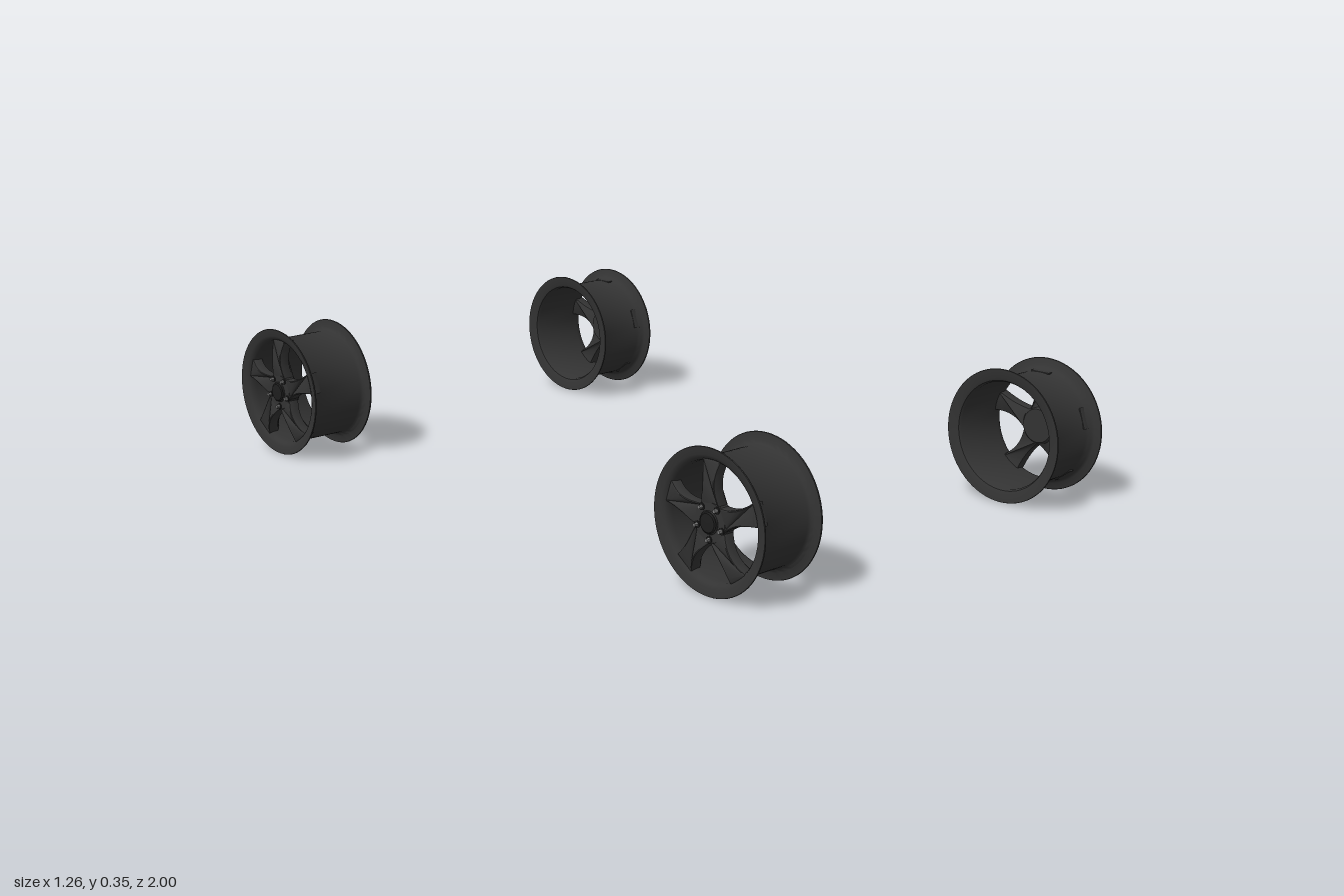
import * as THREE from 'three';
import { toCreasedNormals } from 'three/addons/utils/BufferGeometryUtils.js';

const mat = (name, color) => {
  const m = new THREE.MeshStandardMaterial({ color });
  m.name = name;
  return m;
};

function add(parent, name, geometry, material) {
  const mesh = new THREE.Mesh(geometry, material);
  mesh.name = name;
  parent.add(mesh);
  return mesh;
}

// Profile points are [radius, z]; the wheel axis is z, outside face at +z
function turned(points, segments = 64) {
  const g = new THREE.LatheGeometry(points.map(([r, z]) => new THREE.Vector2(r, z)), segments);
  g.rotateX(Math.PI / 2);
  return toCreasedNormals(g, 0.6);
}

// Waisted spoke pointing up, bowed outward between hub and rim
function spokeGeometry() {
  const half = [[0.027, 0.03], [0.021, 0.055], [0.0165, 0.08], [0.0165, 0.105], [0.02, 0.125], [0.025, 0.142]];
  const side = new THREE.CatmullRomCurve3(half.map(([x, y]) => new THREE.Vector3(x, y, 0))).getPoints(14);
  const outline = [
    ...side.map(p => new THREE.Vector2(p.x, p.y)),
    ...side.slice().reverse().map(p => new THREE.Vector2(-p.x, p.y)),
  ];
  const g = new THREE.ExtrudeGeometry(new THREE.Shape(outline), {
    depth: 0.022, bevelEnabled: true, bevelThickness: 0.004, bevelSize: 0.003, bevelSegments: 2,
  });
  const pos = g.attributes.position;
  for (let i = 0; i < pos.count; i++) {
    const t = (pos.getY(i) - 0.085) / 0.06;
    pos.setZ(i, pos.getZ(i) + 0.07 - 0.012 * t * t);
  }
  return toCreasedNormals(g, 0.5);
}

export function createModel() {
  const rimPaint = mat('dark rim paint', 0x333333);
  const capPaint = mat('black cap', 0x1e1e1e);
  const steel = mat('grey steel', 0x777777);

  // Closed section of the barrel with a flared lip at each end
  const barrel = turned([
    [0.139, -0.080], [0.143, -0.087], [0.150, -0.090], [0.173, -0.093],
    [0.174, -0.091], [0.173, -0.089], [0.154, -0.087], [0.147, -0.083], [0.143, -0.076],
    [0.143, 0.066], [0.147, 0.072], [0.150, 0.080], [0.156, 0.085], [0.173, 0.090],
    [0.174, 0.092], [0.173, 0.094], [0.154, 0.091], [0.146, 0.087], [0.141, 0.080], [0.139, 0.068],
    [0.139, -0.080],
  ], 72);
  const hub = turned([
    [0, 0.055], [0.044, 0.055], [0.050, 0.062], [0.050, 0.086], [0.047, 0.090], [0, 0.090],
  ], 48);
  const cap = turned([[0.025, 0.088], [0.025, 0.095], [0.022, 0.098], [0, 0.099]], 32);
  const capRing = new THREE.TorusGeometry(0.026, 0.002, 8, 32).translate(0, 0, 0.092);
  const spoke = spokeGeometry();
  const nut = toCreasedNormals(new THREE.CylinderGeometry(0.0045, 0.006, 0.015, 6), 0.3);
  nut.rotateX(Math.PI / 2).translate(0, -0.04, 0.0935);
  const seat = new THREE.CylinderGeometry(0.0085, 0.0085, 0.004, 20);
  seat.rotateX(Math.PI / 2).translate(0, -0.04, 0.09);

  function makeWheel(name) {
    const wheel = new THREE.Group();
    wheel.name = name;
    add(wheel, 'barrel', barrel, rimPaint);
    add(wheel, 'hub', hub, rimPaint);
    add(wheel, 'centreCap', cap, capPaint);
    add(wheel, 'capRing', capRing, rimPaint);
    // Five spokes, with a nut between each pair
    for (let i = 0; i < 5; i++) {
      const a = (i * Math.PI * 2) / 5;
      add(wheel, 'spoke', spoke, rimPaint).rotation.z = a;
      add(wheel, 'nutSeat', seat, capPaint).rotation.z = a;
      add(wheel, 'wheelNut', nut, steel).rotation.z = a;
    }
    return wheel;
  }

  // One wheel at each corner, spokes facing outward
  const model = new THREE.Group();
  model.name = 'wheelSet';
  for (const [sideName, sx] of [['Left', 1], ['Right', -1]]) {
    for (const [endName, sz] of [['front', 1], ['rear', -1]]) {
      const wheel = makeWheel(`${endName}${sideName}Wheel`);
      wheel.position.set(sx * 0.527, 0.174, sz * 0.826);
      wheel.rotation.y = (sx * Math.PI) / 2;
      model.add(wheel);
    }
  }
  return model;
}
